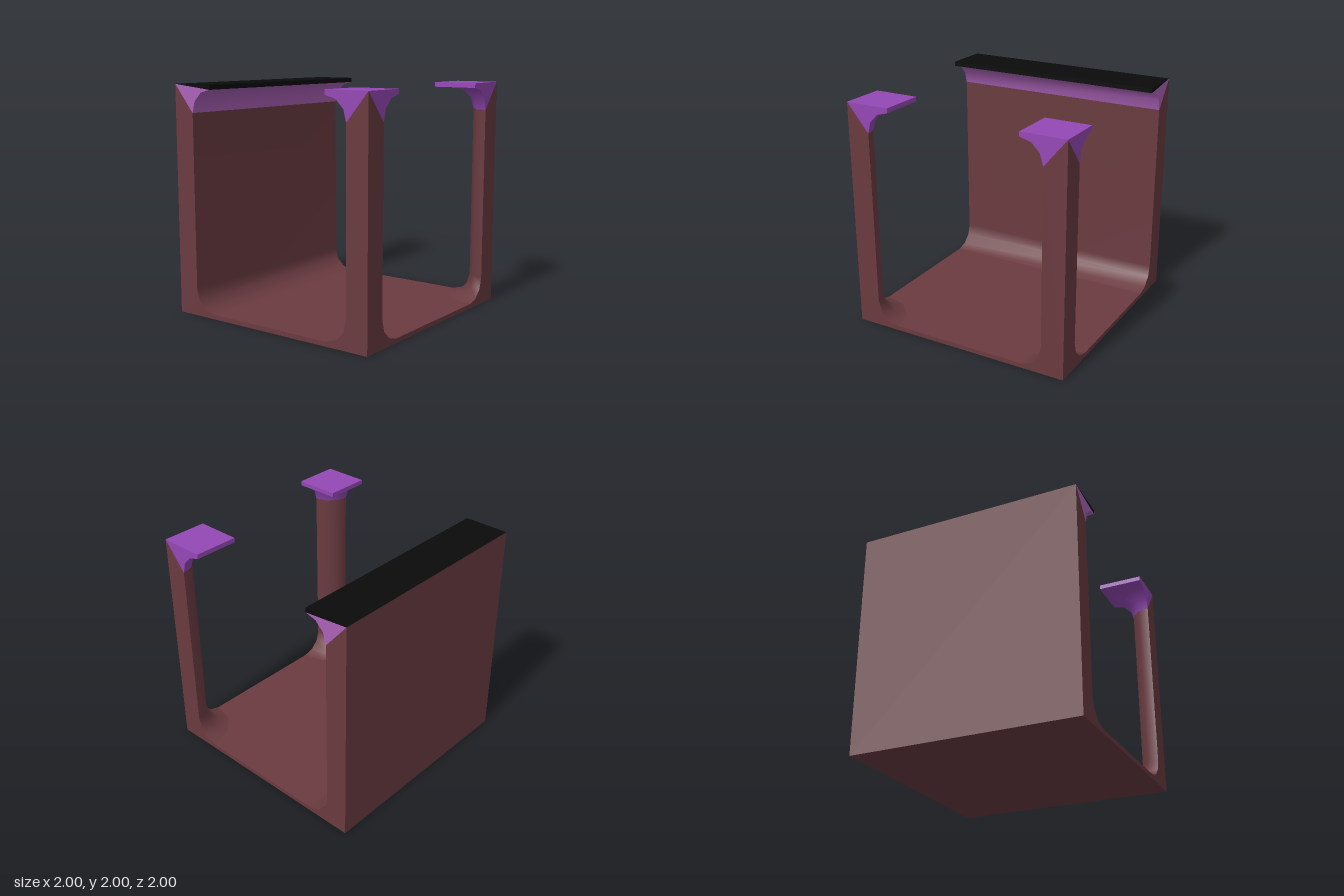
import * as THREE from 'three';

const PI = Math.PI;
const mat = (color) => new THREE.MeshStandardMaterial({ color, side: THREE.DoubleSide });
const V = (x, y) => new THREE.Vector2(x, y);

// Points along a three-sided arc
function arc(cx, cy, r, a0, a1, n = 3) {
  return Array.from({ length: n + 1 }, (_, i) => {
    const a = a0 + ((a1 - a0) * i) / n;
    return V(cx + r * Math.cos(a), cy + r * Math.sin(a));
  });
}
const flip = (pts, s) => pts.map((p) => V(p.x * s, p.y));
const face = (pts) => new THREE.ShapeGeometry(new THREE.Shape(pts));

// Profile (listed from top to bottom) swept along the full depth
function strip(pts) {
  const geo = new THREE.PlaneGeometry(1, 1, 1, pts.length - 1);
  const pos = geo.attributes.position;
  for (let i = 0; i < pos.count; i++) {
    const p = pts[i >> 1];
    pos.setXYZ(i, p.x, p.y, i % 2 ? -1 : 1);
  }
  geo.computeVertexNormals();
  return geo;
}

function add(group, name, geo, material) {
  const mesh = new THREE.Mesh(geo, material);
  mesh.name = name;
  group.add(mesh);
  return mesh;
}

export function createModel() {
  const model = new THREE.Group();
  model.name = 'openRoomBlock';
  const brown = mat(0x6a3b40);
  const purple = mat(0x9448b5);
  const mauve = mat(0xac62b8);
  const black = mat(0x0a0a0a);

  // U-shaped outer faces: front, back and the open side
  const frame = [
    V(-1, 0), V(1, 0), V(1, 2), V(0.8, 1.76),
    ...arc(0.6, 0.24, 0.2, 0, -PI / 2),
    ...arc(-0.6, 0.24, 0.2, -PI / 2, -PI),
    V(-0.8, 1.76), V(-1, 2),
  ];
  [['frontFrame', 0], ['sideFrame', PI / 2], ['backFrame', PI]].forEach(([name, turn]) => {
    add(model, name, face(frame).translate(0, 0, 1).rotateY(turn), brown);
  });

  // Solid wall, underside and floor
  add(model, 'wallOutside', new THREE.PlaneGeometry(2, 2).rotateY(-PI / 2).translate(-1, 1, 0), brown);
  add(model, 'underside', new THREE.PlaneGeometry(2, 2).rotateX(PI / 2), brown);
  const floor = [
    V(-0.6, -1), ...arc(1, -1, 0.4, PI, PI / 2),
    ...arc(1, 1, 0.4, -PI / 2, -PI), V(-0.6, 1),
  ];
  add(model, 'floor', face(floor).rotateX(-PI / 2).translate(0, 0.04, 0), brown);
  add(model, 'wallInside', strip([V(-0.8, 1.76), ...arc(-0.6, 0.24, 0.2, PI, 1.5 * PI)]), brown);

  // Cove and dark ledge along the wall top
  const cove = arc(-0.6, 1.76, 0.2, PI / 2, PI);
  add(model, 'wallCove', strip(cove), mauve);
  add(model, 'ledgeTop', strip([V(-1, 2), V(-0.6, 2)]), black);
  add(model, 'ledgeEdge', strip([V(-0.6, 2), V(-0.6, 1.96)]), black);
  for (const s of [1, -1]) {
    const turn = s > 0 ? 0 : PI;
    const coveEnd = flip([V(-1, 2), ...[...cove].reverse()], s);
    const ledgeEnd = flip([V(-1, 2), V(-0.6, 1.96), V(-0.6, 2)], s);
    add(model, 'coveEnd', face(coveEnd).translate(0, 0, 1).rotateY(turn), mauve);
    add(model, 'ledgeEnd', face(ledgeEnd).translate(0, 0, 1).rotateY(turn), black);
  }

  // Quarter-round corner pillars with flared feet and square caps
  const shaft = [...arc(0.4, 0.24, 0.2, 1.5 * PI, PI), V(0.2, 1.76)];
  const flare = arc(0.4, 1.76, 0.2, PI, PI / 2);
  const bracket = [V(0, 2), ...flare, V(0.4, 2)];
  const soffit = [V(-0.4, -0.4), ...arc(0, 0, 0.4, -PI / 2, -PI)];
  for (const s of [1, -1]) {
    const pillar = new THREE.Group();
    pillar.name = s > 0 ? 'frontPillar' : 'backPillar';
    add(pillar, 'shaft', new THREE.LatheGeometry(shaft, 3, PI, PI / 2), brown);
    add(pillar, 'capFlare', new THREE.LatheGeometry(flare, 3, PI, PI / 2), purple);
    add(pillar, 'capFaceA', face(flip(bracket, -1)), purple);
    add(pillar, 'capFaceB', face(bracket).rotateY(PI / 2), purple);
    add(pillar, 'capTop', new THREE.PlaneGeometry(0.4, 0.4).rotateX(-PI / 2).translate(-0.2, 2, -0.2), purple);
    add(pillar, 'capUnderside', face(soffit).rotateX(PI / 2).translate(0, 1.96, 0), purple);
    const edge = () => new THREE.PlaneGeometry(0.4, 0.04);
    add(pillar, 'capEdgeA', edge().rotateY(-PI / 2).translate(-0.4, 1.98, -0.2), purple);
    add(pillar, 'capEdgeB', edge().rotateY(PI).translate(-0.2, 1.98, -0.4), purple);
    pillar.position.set(1, 0, s);
    pillar.rotation.y = s > 0 ? 0 : PI / 2;
    model.add(pillar);
  }

  return model;
}
